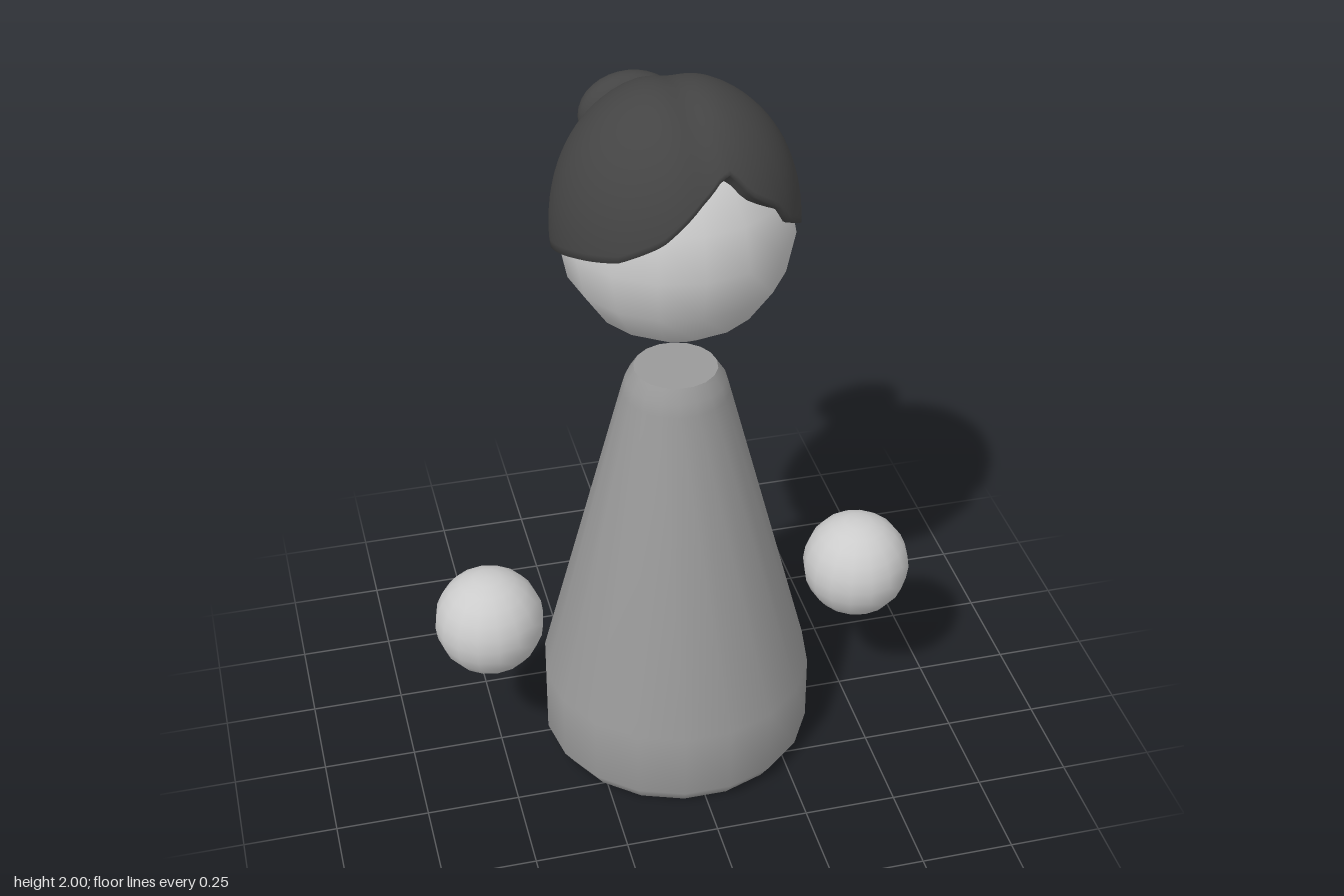
import * as THREE from 'three';
import { mergeVertices } from 'three/addons/utils/BufferGeometryUtils.js';

const CZ = 0.03; // depth of the figure's axis
const HEAD_Y = 1.62;
const rad = THREE.MathUtils.degToRad;

const skin = new THREE.MeshStandardMaterial({ color: 0xcccccc });
const cloth = new THREE.MeshStandardMaterial({ color: 0x999999 });
const dark = new THREE.MeshStandardMaterial({ color: 0x444444, side: THREE.DoubleSide });

function add(parent, name, geometry, material, x = 0, y = 0, z = 0) {
  const mesh = new THREE.Mesh(geometry, material);
  mesh.name = name;
  mesh.position.set(x, y, z);
  parent.add(mesh);
  return mesh;
}

const smoothLathe = (points, segments) => {
  const curve = new THREE.SplineCurve(points.map(([r, y]) => new THREE.Vector2(r, y)));
  const profile = curve.getPoints(28);
  profile.forEach((p) => { p.x = Math.max(p.x, 0); });
  return new THREE.LatheGeometry(profile, segments);
};

// Hairline: [azimuth from the front towards +x, angle down from the crown]
const HAIRLINE = [
  [-180, 119], [-144, 115], [-116, 105], [-90, 95], [-66, 88], [-41, 82], [-20, 71], [0, 54], [12, 46],
  [20, 44], [28, 55], [46, 67], [53, 77], [71, 87], [95, 97], [116, 105], [144, 115], [180, 119],
];

function hairlineAt(a) {
  const i = Math.max(1, HAIRLINE.findIndex(([az]) => az >= a));
  const [a0, p0] = HAIRLINE[i - 1];
  const [a1, p1] = HAIRLINE[i];
  return p0 + ((p1 - p0) * (a - a0)) / (a1 - a0);
}

// Cap of hair: a sphere patch stretched down to the hairline, its rim tucked into the head
function hairGeometry() {
  const rows = 28;
  const geo = new THREE.SphereGeometry(1, 96, rows, 0, Math.PI * 2, 0, Math.PI / 2);
  const { position, uv } = geo.attributes;
  for (let i = 0; i < position.count; i++) {
    const row = Math.floor(i / 97);
    let az = (i % 97) * (360 / 96) - 90;
    if (az > 180) az -= 360;
    const a = rad(az);
    const edge = rad(hairlineAt(az));
    const phi = edge * Math.min(1, row / (rows - 3));
    const c = Math.max(0, Math.cos(phi));
    let r = 0.315 + 0.068 * c * c;
    r -= 0.017 * Math.max(0, Math.cos(a)) * Math.sin(phi) ** 2;
    const x0 = r * Math.sin(phi) * Math.sin(a);
    r -= 0.012 * Math.exp(-(((x0 - 0.01) / 0.05) ** 2)) * c * c; // soft parting
    const tuck = Math.max(0, row - (rows - 3));
    if (tuck) r = [r, r - 0.012, 0.29, 0.27][tuck];
    position.setXYZ(i, r * Math.sin(phi) * Math.sin(a), r * Math.cos(phi), r * Math.sin(phi) * Math.cos(a));
  }
  geo.deleteAttribute('uv');
  geo.deleteAttribute('normal');
  const merged = mergeVertices(geo, 1e-5);
  merged.computeVertexNormals();
  return merged;
}

export function createModel() {
  const model = new THREE.Group();
  model.name = 'figure';

  // Conical body with bevelled ends
  const body = new THREE.Group();
  body.name = 'body';
  body.position.z = CZ;
  model.add(body);
  const profile = [[0.34, 0], [0.37, 0.045], [0.37, 0.24], [0.142, 1.13], [0.132, 1.165], [0.11, 1.2]];
  const robe = new THREE.LatheGeometry(profile.map(([r, y]) => new THREE.Vector2(r, y)), 18);
  robe.rotateY(rad(10));
  add(body, 'robe', robe, cloth);
  add(body, 'neckCap', new THREE.CircleGeometry(0.11, 18).rotateX(-Math.PI / 2), cloth, 0, 1.2);
  add(body, 'baseCap', new THREE.CircleGeometry(0.34, 18).rotateX(Math.PI / 2), cloth);

  // Floating hands
  for (const [side, name] of [[1, 'leftHand'], [-1, 'rightHand']]) {
    add(model, name, new THREE.SphereGeometry(0.148, 16, 12), skin, side * 0.52, 0.46, CZ);
  }

  // Head, hair and bun
  add(model, 'head', new THREE.SphereGeometry(0.3, 16, 8), skin, 0, HEAD_Y, CZ);
  add(model, 'hair', hairGeometry(), dark, 0, HEAD_Y, CZ);

  const bunProfile = [
    [0.13, 0], [0.1, 0.045], [0.09, 0.07], [0.103, 0.09], [0.112, 0.115],
    [0.104, 0.15], [0.075, 0.172], [0.035, 0.181], [0, 0.183],
  ];
  const bun = smoothLathe(bunProfile, 32);
  bun.rotateX(-Math.PI / 2);
  bun.scale(1.22, 1, 1);
  add(model, 'hairBun', bun, dark, -0.03, 1.75, -0.215);

  return model;
}
